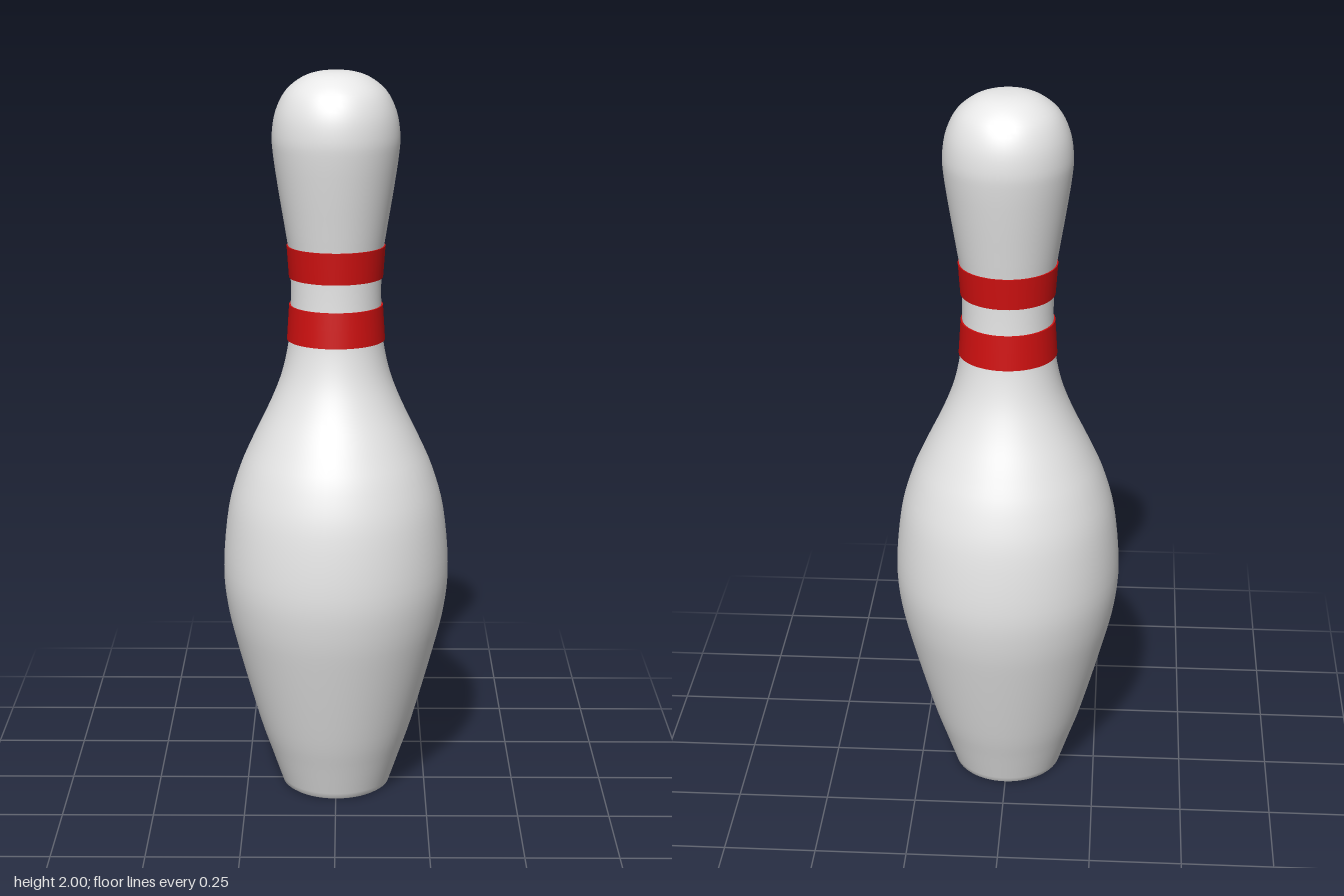
import * as THREE from 'three';

const SEGMENTS = 64;

export function createModel() {
  const white = new THREE.MeshStandardMaterial({ color: 0xeeeeee });
  white.name = 'gloss white';
  const red = new THREE.MeshStandardMaterial({ color: 0xd01010 });
  red.name = 'stripe red';

  const pin = new THREE.Group();
  pin.name = 'bowlingPin';

  // Revolve [radius, height] pairs around y, running upwards
  const addLathe = (name, points, material) => {
    const mesh = new THREE.Mesh(new THREE.LatheGeometry(points, SEGMENTS), material);
    mesh.name = name;
    pin.add(mesh);
  };
  const toPoints = (pairs) => pairs.map(([r, y]) => new THREE.Vector2(r, y));

  // Belly, neck and head as one smooth profile
  const profile = new THREE.SplineCurve(toPoints([
    [0.155, 0.02], [0.182, 0.1], [0.215, 0.2], [0.27, 0.4], [0.3, 0.53], [0.31, 0.65],
    [0.295, 0.81], [0.265, 0.92], [0.226, 1.01], [0.178, 1.11], [0.147, 1.19], [0.129, 1.27],
    [0.123, 1.34], [0.121, 1.42], [0.123, 1.5], [0.135, 1.58], [0.153, 1.69], [0.166, 1.78],
    [0.169, 1.835], [0.159, 1.895], [0.133, 1.947], [0.09, 1.982], [0.045, 1.997], [0, 2],
  ])).getPoints(92);
  profile[profile.length - 1].set(0, 2);
  addLathe('body', profile, white);

  // Rounded foot rim and flat underside
  addLathe('footRim', toPoints([[0.143, 0], [0.15, 0.005], [0.155, 0.02]]), white);
  addLathe('underside', toPoints([[0, 0], [0.143, 0]]), white);

  // Two thin raised neck stripes, each with a slight waist and closed edges
  const addStripe = (name, bottom, top, rBottom, rTop) => {
    const middle = (bottom + top) / 2;
    const rMiddle = (rBottom + rTop) / 2;
    addLathe(name, toPoints([[rBottom, bottom], [rMiddle, middle], [rTop, top]]), red);
    addLathe(name + 'LowerEdge', toPoints([[0.118, bottom], [rBottom, bottom]]), red);
    addLathe(name + 'UpperEdge', toPoints([[rTop, top], [0.118, top]]), red);
  };
  addStripe('lowerStripe', 1.285, 1.38, 0.132, 0.126);
  addStripe('upperStripe', 1.455, 1.54, 0.126, 0.132);

  return pin;
}
